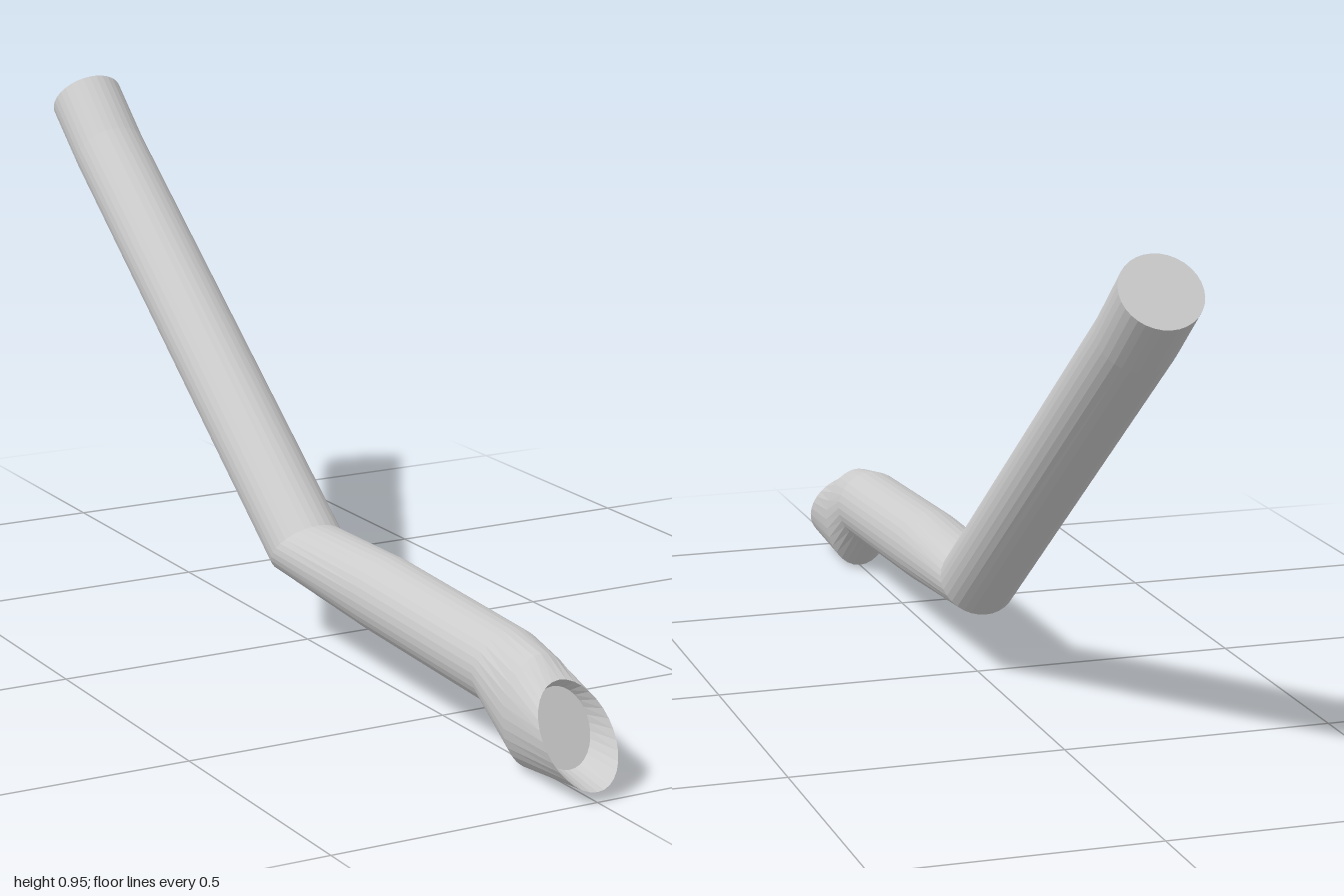
import * as THREE from 'three';

const SIDES = 32;

// A ring is [topZ, topY, bottomZ, bottomY, halfWidth]: an ellipse tilted in the side plane.
function ringPoint([tz, ty, bz, by, w], j) {
  const t = (j / SIDES) * Math.PI * 2;
  const s = Math.sin(t) / 2;
  return [Math.cos(t) * w, (ty + by) / 2 + s * (ty - by), (tz + bz) / 2 + s * (tz - bz)];
}

function makeMesh(name, positions, material) {
  const geometry = new THREE.BufferGeometry();
  geometry.setAttribute('position', new THREE.Float32BufferAttribute(positions, 3));
  geometry.computeVertexNormals();
  const mesh = new THREE.Mesh(geometry, material);
  mesh.name = name;
  return mesh;
}

// Skin a chain of rings into a tube wall
function loft(name, rings, material) {
  const pos = [];
  for (let i = 0; i < rings.length - 1; i++) {
    for (let j = 0; j < SIDES; j++) {
      const a = ringPoint(rings[i], j);
      const b = ringPoint(rings[i], j + 1);
      const c = ringPoint(rings[i + 1], j + 1);
      const d = ringPoint(rings[i + 1], j);
      pos.push(...a, ...b, ...c, ...a, ...c, ...d);
    }
  }
  return makeMesh(name, pos, material);
}

// Close a ring with a flat disc
function cap(name, ring, facesFront, material) {
  const [tz, ty, bz, by] = ring;
  const centre = [0, (ty + by) / 2, (tz + bz) / 2];
  const pos = [];
  for (let j = 0; j < SIDES; j++) {
    const a = ringPoint(ring, j);
    const b = ringPoint(ring, j + 1);
    pos.push(...centre, ...(facesFront ? a : b), ...(facesFront ? b : a));
  }
  return makeMesh(name, pos, material);
}

export function createModel() {
  const group = new THREE.Group();
  group.name = 'bentPipe';
  const material = new THREE.MeshStandardMaterial({ color: 0xcccccc, flatShading: true });

  const end = [-0.905, 0.952, -0.998, 0.845, 0.072];
  const elbow = [0.045, 0.237, -0.05, 0.127, 0.072];
  const bend = [0.72, 0.224, 0.71, 0.083, 0.071];
  const mouth = [0.877, 0.179, 1.0, 0.021, 0.069];
  const recess = [0.857, 0.162, 0.915, 0.033, 0.055];

  // Long sloping pipe with its closed rear end
  group.add(loft('rearPipe', [end, [-0.8, 0.86, -0.89, 0.755, 0.072], elbow], material));
  group.add(cap('rearCap', end, false, material));

  // Nearly level middle pipe
  group.add(loft('middlePipe', [elbow, [0.3, 0.242, 0.3, 0.1, 0.072], bend], material));

  // Downturned spout with a slanted mouth
  group.add(loft('spout', [bend, [0.82, 0.208, 0.81, 0.003, 0.07], mouth], material));

  // Inside of the mouth, tapering back to a recessed disc
  group.add(loft('mouthWall', [mouth, recess], material));
  group.add(cap('mouthDisc', recess, true, material));
  return group;
}
